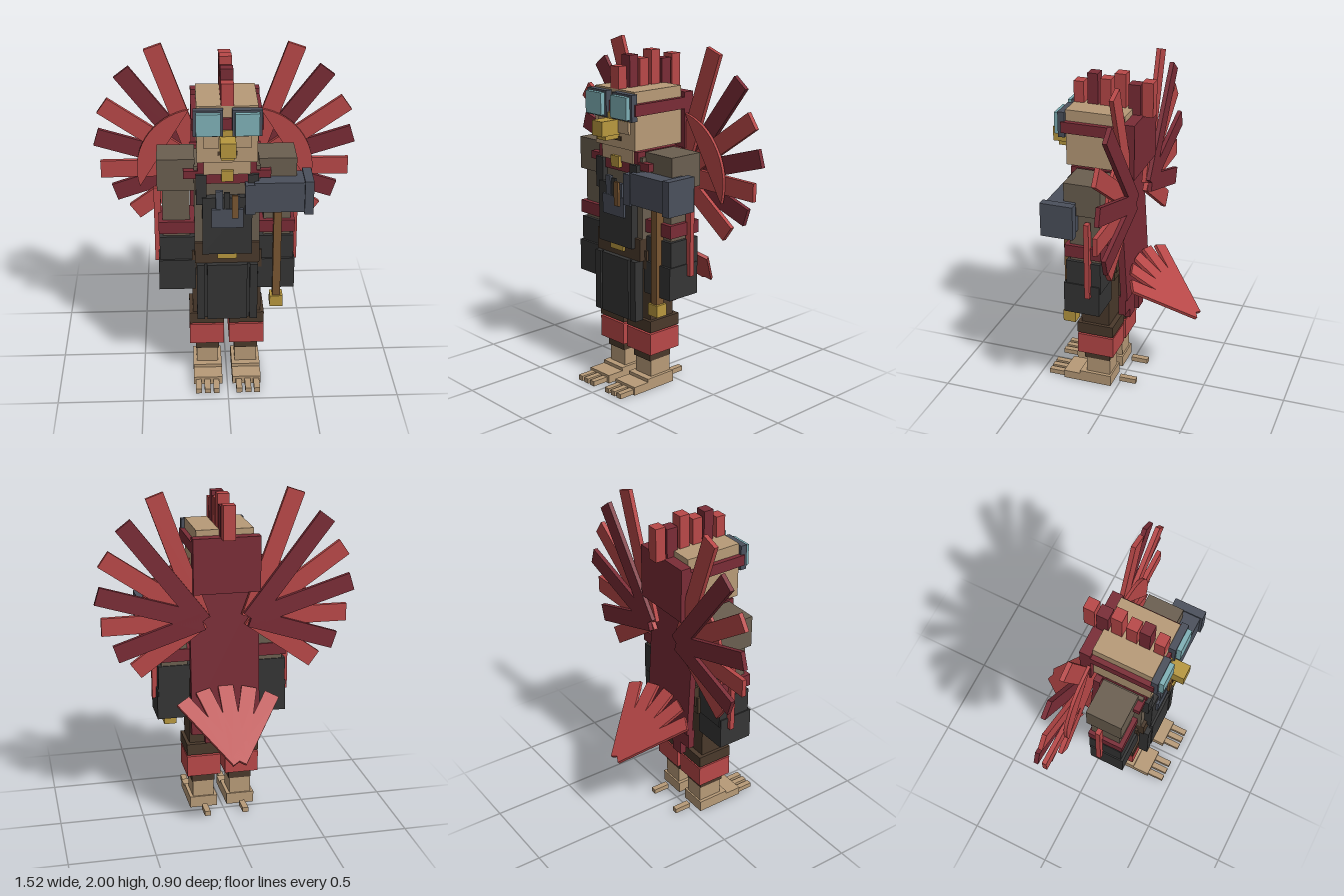
import * as THREE from 'three';

const mat = (name, color) => {
  const m = new THREE.MeshStandardMaterial({ color });
  m.name = name;
  return m;
};

export function createModel() {
  const red = mat('red', 0xb94848), darkRed = mat('darkRed', 0x7a2c36), skin = mat('skin', 0xb89b78);
  const jacket = mat('jacket', 0x6b5f50), brown = mat('brown', 0x4a392b), black = mat('black', 0x353535);
  const slate = mat('slate', 0x4b505c), glass = mat('glass', 0x80b2b8), gold = mat('gold', 0xb8983f);
  const wood = mat('wood', 0x7a5632);

  const model = new THREE.Group();
  model.name = 'birdTinkerer';
  const add = (name, geo, m) => {
    const mesh = new THREE.Mesh(geo, m);
    mesh.name = name;
    model.add(mesh);
    return mesh;
  };
  // Box given by its limits on each axis
  const box = (name, m, x0, x1, y0, y1, z0, z1) =>
    add(name, new THREE.BoxGeometry(x1 - x0, y1 - y0, z1 - z0)
      .translate((x0 + x1) / 2, (y0 + y1) / 2, (z0 + z1) / 2), m);
  // The same box on the left (+x) and right sides
  const pair = (name, m, x0, x1, ...r) => {
    box(name + 'Left', m, x0, x1, ...r);
    box(name + 'Right', m, -x1, -x0, ...r);
  };

  // Feet and legs
  pair('foot', skin, 0.03, 0.2, 0, 0.05, 0.04, 0.345);
  pair('instep', skin, 0.03, 0.2, 0.05, 0.07, 0.04, 0.24);
  for (const x of [0.05, 0.103, 0.155]) pair('toe', skin, x, x + 0.035, 0.005, 0.035, 0.345, 0.445);
  pair('backToe', skin, 0.1, 0.135, 0.005, 0.035, -0.1, 0.005);
  pair('ankle', skin, 0.05, 0.18, 0.07, 0.17, 0.05, 0.2);
  pair('shin', brown, 0.045, 0.185, 0.17, 0.37, 0.05, 0.21);
  pair('legCuff', red, 0.015, 0.22, 0.225, 0.355, 0.015, 0.24);
  pair('trouserHem', brown, 0.015, 0.22, 0.365, 0.435, 0.015, 0.24);
  pair('thigh', brown, 0.025, 0.2, 0.435, 0.8, 0.045, 0.22);

  // Body, belt and apron
  box('hips', brown, -0.2, 0.2, 0.75, 0.86, 0.01, 0.25);
  box('belt', brown, -0.185, 0.185, 0.8, 0.93, 0.0, 0.285);
  box('buckle', gold, -0.055, 0.055, 0.835, 0.87, 0.285, 0.3);
  box('torso', jacket, -0.185, 0.185, 0.93, 1.4, 0.02, 0.265);
  box('apronSkirt', black, -0.175, 0.175, 0.44, 0.8, 0.255, 0.295);
  for (const [x0, x1] of [[-0.175, -0.13], [-0.115, 0.115], [0.13, 0.175]])
    box('apronPleat', black, x0, x1, 0.44, 0.8, 0.295, 0.315);
  box('apronBib', black, -0.14, 0.14, 0.87, 1.225, 0.265, 0.31);
  pair('apronStrap', black, 0.115, 0.175, 1.18, 1.36, 0.26, 0.3);
  box('pocket', slate, -0.09, 0.09, 1.045, 1.16, 0.31, 0.325);
  box('toolSlate', slate, -0.065, -0.025, 1.16, 1.27, 0.3, 0.322);
  box('toolSlate', slate, 0.04, 0.07, 1.16, 1.24, 0.3, 0.322);
  box('toolBlack', black, -0.018, 0.015, 1.16, 1.26, 0.305, 0.32);
  box('toolWood', wood, 0.025, 0.06, 1.11, 1.25, 0.325, 0.34);

  // Collar, neck and pendant
  box('collar', darkRed, -0.245, 0.245, 1.33, 1.375, 0.02, 0.275);
  box('scarf', darkRed, -0.165, 0.165, 1.3, 1.43, -0.02, 0.28);
  box('neck', skin, -0.13, 0.13, 1.36, 1.46, 0.0, 0.29);
  box('pendant', gold, -0.033, 0.033, 1.325, 1.39, 0.285, 0.31);

  // Arms
  pair('shoulder', jacket, 0.18, 0.392, 1.24, 1.43, 0.022, 0.237);
  pair('sleeve', jacket, 0.21, 0.365, 0.94, 1.24, 0.035, 0.215);
  pair('armCuff', darkRed, 0.165, 0.388, 0.97, 1.045, 0.025, 0.242);
  pair('gloveWrist', black, 0.185, 0.385, 0.755, 0.945, 0.028, 0.235);
  pair('gloveHand', black, 0.18, 0.392, 0.61, 0.8, 0.035, 0.25);
  pair('armFeather', red, 0.375, 0.415, 0.73, 1.2, 0.085, 0.115);

  // Hammer
  box('hammerHead', slate, 0.15, 0.43, 1.14, 1.32, 0.165, 0.33);
  box('hammerFace', slate, 0.43, 0.48, 1.13, 1.33, 0.152, 0.345);
  box('hammerPeen', slate, 0.1, 0.155, 1.13, 1.31, 0.17, 0.335);
  box('hammerHandle', wood, 0.265, 0.31, 0.57, 1.14, 0.22, 0.275);
  box('hammerPommel', gold, 0.25, 0.325, 0.5, 0.57, 0.21, 0.285);

  // Head and face
  box('head', skin, -0.168, 0.168, 1.44, 1.77, -0.045, 0.305);
  box('headBand', darkRed, -0.197, 0.197, 1.64, 1.705, -0.06, 0.325);
  box('headBack', darkRed, -0.197, 0.197, 1.41, 1.735, -0.11, -0.045);
  box('mouth', brown, -0.055, 0.055, 1.483, 1.507, 0.3, 0.311);
  pair('cheek', skin, 0.045, 0.13, 1.53, 1.6, 0.265, 0.32);
  box('beakBase', gold, -0.125, 0.125, 1.595, 1.62, 0.3, 0.318);
  box('beakBridge', gold, -0.033, 0.033, 1.59, 1.64, 0.3, 0.335);
  box('beak', gold, -0.043, 0.043, 1.52, 1.605, 0.3, 0.435);
  box('beakLower', gold, -0.035, 0.035, 1.495, 1.52, 0.3, 0.405);
  pair('goggleFrame', slate, 0.025, 0.188, 1.61, 1.76, 0.305, 0.345);
  pair('goggleLens', glass, 0.04, 0.172, 1.622, 1.748, 0.345, 0.372);

  // Crest, front to back
  const crest = [
    [red, 1.77, 1.895, 0.245, 0.305], [darkRed, 1.77, 1.95, 0.16, 0.222], [red, 1.77, 1.925, 0.083, 0.147],
    [red, 1.77, 1.965, -0.005, 0.06], [darkRed, 1.7, 1.91, -0.09, -0.02], [red, 1.73, 1.93, -0.165, -0.1]];
  for (const [m, y0, y1, z0, z1] of crest) box('crestFeather', m, -0.035, 0.035, y0, y1, z0, z1);

  // Feather fans behind the shoulders
  const sector = new THREE.Shape();
  sector.moveTo(0, 0);
  sector.absarc(0, 0, 0.37, -0.3, 1.4, false);
  sector.closePath();
  for (const s of [1, -1]) {
    const side = s > 0 ? 'Left' : 'Right';
    const place = (mesh, angle) => {
      mesh.position.set(0.142 * s, 1.25, 0);
      mesh.rotation.z = s > 0 ? angle : Math.PI - angle;
    };
    for (let i = 0; i < 7; i++) {
      const length = 0.78 - 0.05 * i, dark = i % 2;
      const geo = new THREE.BoxGeometry(length, 0.105, 0.026).translate(length / 2, 0, dark ? -0.094 : -0.07);
      place(add('wingFeather' + side, geo, dark ? darkRed : red), THREE.MathUtils.degToRad(70.3 - 17.7 * i));
    }
    const disc = add('wingDisc' + side,
      new THREE.ExtrudeGeometry(sector, { depth: 0.02, bevelEnabled: false, curveSegments: 8 }), red);
    disc.position.set(0.142 * s, 1.25, -0.06);
    if (s < 0) { // turned half round, so the plate faces backwards at the same depth
      disc.rotation.y = Math.PI;
      disc.position.z = -0.04;
    }
  }

  // Cape with ragged hem
  const cape = add('cape', new THREE.BoxGeometry(0.41, 0.79, 0.04), darkRed);
  cape.position.set(0, 1.025, -0.03);
  cape.rotation.x = 0.055;
  [0.53, 0.44, 0.58, 0.47, 0.53].forEach((y, i) =>
    box('capeHem', darkRed, -0.205 + i * 0.082, -0.123 + i * 0.082, y, 0.65, -0.06, -0.018));

  // Tail fan, spreading from its low tip up towards the cape
  const tail = new THREE.Group();
  tail.name = 'tailFan';
  for (let i = -2; i <= 2; i++) {
    const feather = new THREE.Mesh(new THREE.BoxGeometry(0.09, 0.02, 0.49).translate(0, 0, 0.245), red);
    feather.name = 'tailFeather';
    feather.rotation.y = i * 0.288;
    tail.add(feather);
  }
  tail.position.set(0, 0.505, -0.43);
  tail.rotation.x = -Math.atan2(0.32, 0.37);
  model.add(tail);

  return model;
}
